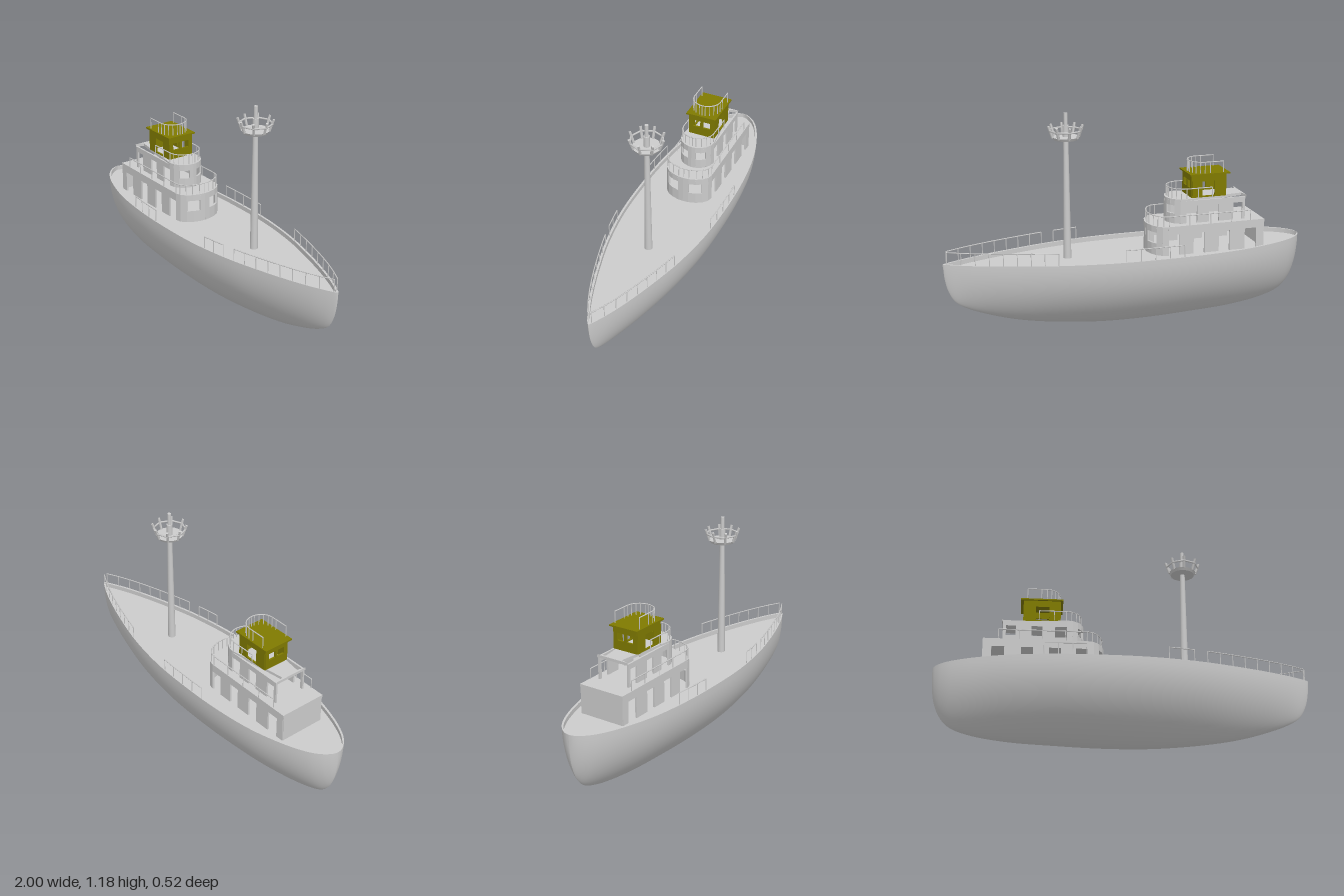
import * as THREE from 'three';

const TOP = 0.415, DECK = 0.39, RIM = 0.012, HOUSE_Z = -0.005;
const grey = new THREE.MeshStandardMaterial({ color: 0xcccccc, side: THREE.DoubleSide });
const painted = new THREE.MeshStandardMaterial({ color: 0x7f7a00, side: THREE.DoubleSide });

// Hull stations: x, keel height, half width at the rim
const stations = new THREE.CatmullRomCurve3([
  [-1, 0.4, 0], [-0.995, 0.3, 0.025], [-0.98, 0.22, 0.052], [-0.95, 0.15, 0.085],
  [-0.9, 0.095, 0.12], [-0.8, 0.055, 0.165], [-0.6, 0.022, 0.222], [-0.35, 0.008, 0.253],
  [-0.1, 0, 0.26], [0.15, 0.005, 0.25], [0.4, 0.03, 0.212], [0.6, 0.065, 0.16],
  [0.75, 0.108, 0.113], [0.87, 0.155, 0.068], [0.94, 0.2, 0.036], [0.975, 0.26, 0.018],
  [0.993, 0.33, 0.007], [1, 0.41, 0],
].map(p => new THREE.Vector3(...p))).getPoints(102);

function halfWidth(x) {
  const i = Math.max(1, stations.findIndex(s => s.x >= x));
  const a = stations[i - 1], b = stations[i];
  return THREE.MathUtils.mapLinear(x, a.x, b.x, a.z, b.z);
}

function add(parent, name, geometry, material = grey) {
  const mesh = new THREE.Mesh(geometry, material);
  mesh.name = name;
  parent.add(mesh);
  return mesh;
}

function group(parent, name, z = 0) {
  const g = new THREE.Group();
  g.name = name;
  g.position.z = z;
  parent.add(g);
  return g;
}

// Surface through one row of [y, z] points per station, on one side of the ship
function loft(section, side) {
  const pos = [], idx = [];
  let n = 0;
  stations.forEach(s => {
    const row = section(s);
    n = row.length;
    row.forEach(([y, z]) => pos.push(s.x, y, z * side));
  });
  for (let i = 0; i < stations.length - 1; i++) {
    for (let j = 0; j < n - 1; j++) {
      const a = i * n + j, b = a + n, c = b + 1, d = a + 1;
      if (side > 0) idx.push(a, b, c, a, c, d);
      else idx.push(a, c, b, a, d, c);
    }
  }
  const g = new THREE.BufferGeometry();
  g.setAttribute('position', new THREE.Float32BufferAttribute(pos, 3));
  g.setIndex(idx);
  g.computeVertexNormals();
  return g;
}

function rod(parent, name, a, b, r, r2 = r, sides = 6) {
  const p = new THREE.Vector3(...a), q = new THREE.Vector3(...b);
  const m = add(parent, name, new THREE.CylinderGeometry(r2, r, p.distanceTo(q), sides));
  m.position.copy(p).lerp(q, 0.5);
  m.quaternion.setFromUnitVectors(new THREE.Vector3(0, 1, 0), q.sub(p).normalize());
}

// Handrail along [x, z] points with a post at each
function railing(parent, name, pts, y0, y1) {
  const g = group(parent, name);
  pts.forEach(([x, z], i) => {
    rod(g, 'post', [x, y0, z], [x, y1, z], 0.0025);
    if (i) rod(g, 'handrail', [pts[i - 1][0], y1, pts[i - 1][1]], [x, y1, z], 0.003);
  });
}

// Upright panel between two plan points
function panel(parent, a, b, y0, y1, material) {
  if (y1 - y0 < 0.001) return;
  const dx = b[0] - a[0], dz = b[1] - a[1];
  const m = add(parent, 'wallPanel', new THREE.BoxGeometry(Math.hypot(dx, dz) + 0.003, y1 - y0, 0.01), material);
  m.position.set((a[0] + b[0]) / 2, (y0 + y1) / 2, (a[1] + b[1]) / 2);
  m.rotation.y = -Math.atan2(dz, dx);
}

// Mirrored walls; a third entry [low, high] opens the panel that starts there
function walls(parent, half, y0, y1, material) {
  for (const side of [1, -1]) {
    for (let i = 0; i < half.length - 1; i++) {
      const a = [half[i][0], half[i][1] * side], b = [half[i + 1][0], half[i + 1][1] * side];
      const [low, high] = half[i][2] || [y1, y1];
      panel(parent, a, b, y0, low, material);
      panel(parent, a, b, high, y1, material);
    }
  }
}

const mirrored = half => [...half, ...half.map(([x, z]) => [x, -z]).reverse()];

function slab(parent, name, half, y, thickness) {
  const shape = new THREE.Shape(mirrored(half).map(([x, z]) => new THREE.Vector2(x, z)));
  const geo = new THREE.ExtrudeGeometry(shape, { depth: thickness, bevelEnabled: false });
  add(parent, name, geo.rotateX(-Math.PI / 2)).position.y = y;
}

// Rounded front from the side to the centreline, with a window
function roundFront(x, a, b, opening) {
  return [90, 70, 50, 32, 13, 0].map(deg => {
    const t = THREE.MathUtils.degToRad(deg);
    return [x + a * Math.cos(t), b * Math.sin(t), (deg === 50 || deg === 32) ? opening : undefined];
  });
}

export function createModel() {
  const ship = new THREE.Group();
  ship.name = 'ship';

  // Hull, rim, bulwark and deck
  const hull = group(ship, 'hull');
  const inner = s => Math.max(0, s.z - RIM);
  for (const side of [1, -1]) {
    add(hull, 'hullSide', loft(s => Array.from({ length: 19 }, (_, j) => {
      const v = Math.pow(j / 18, 1.5);
      return [s.y + (TOP - s.y) * v, s.z * Math.sin(Math.PI / 2 * Math.pow(v, 0.75))];
    }), side));
    add(hull, 'rim', loft(s => [[TOP, s.z], [TOP, inner(s)]], side));
    add(hull, 'bulwark', loft(s => [[TOP, inner(s)], [DECK, inner(s)]], side));
    add(hull, 'deck', loft(s => [[DECK, inner(s)], [DECK, 0]], side));
  }

  // Deck rails: start, end, side, number of gaps
  for (const [x0, x1, side, n] of [[0.43, 0.98, 1, 8], [0.43, 0.98, -1, 8], [0.225, 0.36, 1, 2],
    [-0.42, -0.2, 1, 3], [-0.24, 0.08, -1, 4]]) {
    const pts = Array.from({ length: n + 1 }, (_, i) => {
      const x = x0 + (x1 - x0) * i / n;
      return [x, side * Math.max(0, halfWidth(x) - 0.006)];
    });
    railing(ship, 'deckRail', pts, TOP - 0.01, 0.48);
  }

  // Lower deckhouse
  const lower = group(ship, 'lowerDeckhouse', HOUSE_Z);
  const door = [DECK, 0.505];
  const lowerPlan = [[-0.735, 0], [-0.735, 0.128], [-0.695, 0.128, door], [-0.625, 0.128],
    [-0.54, 0.128, door], [-0.475, 0.128], [-0.395, 0.128, door], [-0.33, 0.128],
    [-0.255, 0.128, door], ...roundFront(-0.19, 0.085, 0.128, [0.455, 0.515])];
  walls(lower, lowerPlan, DECK, 0.54);
  slab(lower, 'lowerRoof', [[-0.74, 0.133], ...roundFront(-0.19, 0.09, 0.133)], 0.535, 0.015);
  railing(lower, 'lowerRail', mirrored([[-0.66, 0.129], [-0.55, 0.129], [-0.43, 0.129], [-0.31, 0.129],
    ...roundFront(-0.195, 0.085, 0.129)]), 0.55, 0.605);

  // Middle deckhouse, open at the rear
  const middle = group(ship, 'middleDeckhouse', HOUSE_Z);
  const window2 = [0.55, 0.645];
  const middlePlan = [[-0.638, 0.091], [-0.625, 0.091, window2], [-0.57, 0.091], [-0.49, 0.091, window2],
    [-0.43, 0.091], [-0.365, 0.091, window2], ...roundFront(-0.3, 0.085, 0.091, [0.605, 0.65])];
  walls(middle, middlePlan, 0.55, 0.675);
  slab(middle, 'middleRoof', [[-0.645, 0.096], [-0.632, 0.05], ...roundFront(-0.3, 0.09, 0.096)], 0.67, 0.015);
  railing(middle, 'middleRail', mirrored([[-0.45, 0.09], [-0.37, 0.09],
    ...roundFront(-0.305, 0.083, 0.09)]), 0.685, 0.74);

  // Wheelhouse
  const wheelhouse = group(ship, 'wheelhouse', HOUSE_Z - 0.003);
  const pane = [0.735, 0.775];
  walls(wheelhouse, [[-0.53, 0], [-0.53, 0.006, pane], [-0.53, 0.052], [-0.53, 0.072],
    [-0.47, 0.072, [0.692, 0.772]], [-0.395, 0.072], [-0.34, 0.072], [-0.34, 0.052, pane],
    [-0.34, 0.006], [-0.34, 0]], 0.685, 0.812, painted);
  add(wheelhouse, 'wheelhouseRoof', new THREE.BoxGeometry(0.228, 0.008, 0.174), painted)
    .position.set(-0.437, 0.812, 0);
  railing(wheelhouse, 'wheelhouseRail', mirrored([[-0.515, 0.077], [-0.44, 0.077],
    ...roundFront(-0.41, 0.07, 0.077)]), 0.815, 0.877);

  // Mast with lookout basket
  const mast = group(ship, 'mast', -0.004);
  mast.position.x = 0.335;
  rod(mast, 'pole', [0, DECK, 0], [0, 1.06, 0], 0.021, 0.013, 20);
  rod(mast, 'collar', [0, 1.04, 0], [0, 1.11, 0], 0.016, 0.016, 16);
  rod(mast, 'topPole', [0, 1.1, 0], [0, 1.175, 0], 0.01, 0.01, 16);
  const basket = group(mast, 'lookoutBasket');
  add(basket, 'basketFloor', new THREE.CylinderGeometry(0.073, 0.064, 0.015, 24)).position.y = 1.042;
  add(basket, 'basketRing', new THREE.TorusGeometry(0.087, 0.005, 6, 8).rotateX(Math.PI / 2)).position.y = 1.083;
  for (let i = 0; i < 8; i++) {
    const a = i * Math.PI / 4, c = Math.cos(a), s = Math.sin(a);
    rod(basket, 'basketPost', [c * 0.07, 1.045, s * 0.07], [c * 0.092, 1.108, s * 0.092], 0.008, 0.008, 4);
  }
  return ship;
}
